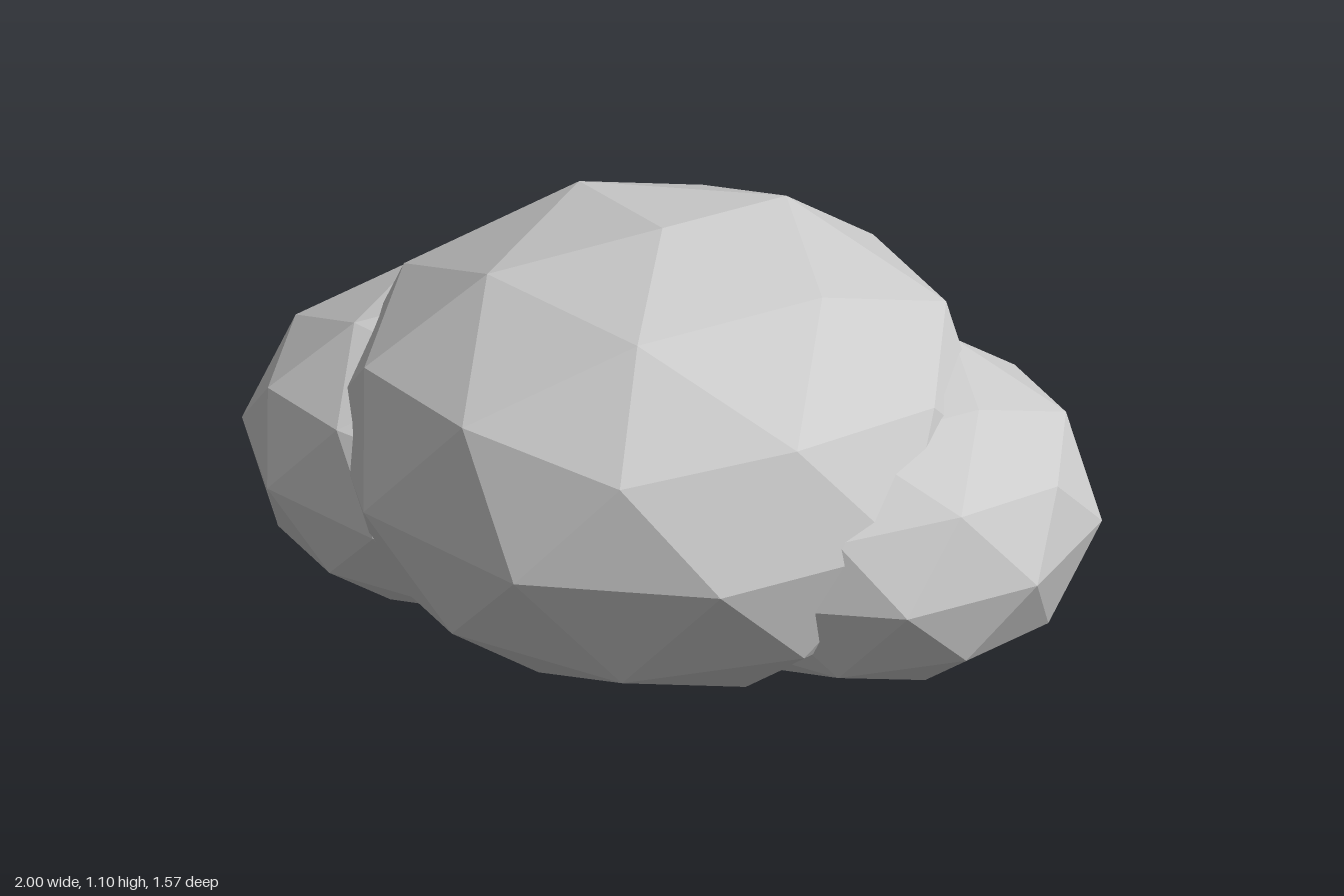
import * as THREE from 'three';

const stone = new THREE.MeshStandardMaterial({ color: 0xcccccc, flatShading: true });
stone.name = 'pale grey';

// Faceted ball with a corner at each pole and one upper corner towards +x
function lobe(name, radius, height, x, y, z) {
  const geometry = new THREE.IcosahedronGeometry(1, 1);
  geometry.rotateZ(-Math.atan(2 / (1 + Math.sqrt(5))));
  geometry.scale(radius, height, radius);
  geometry.computeVertexNormals();
  const mesh = new THREE.Mesh(geometry, stone);
  mesh.name = name;
  mesh.position.set(x, y, z);
  return mesh;
}

export function createModel() {
  const group = new THREE.Group();
  group.name = 'lobedMound';
  group.add(
    lobe('mainLobe', 0.783, 0.548, 0, 0.55, 0),
    lobe('leftLobe', 0.55, 0.38, 0.477, 0.432, -0.1),
    lobe('rightLobe', 0.55, 0.38, -0.477, 0.432, 0)
  );
  return group;
}
